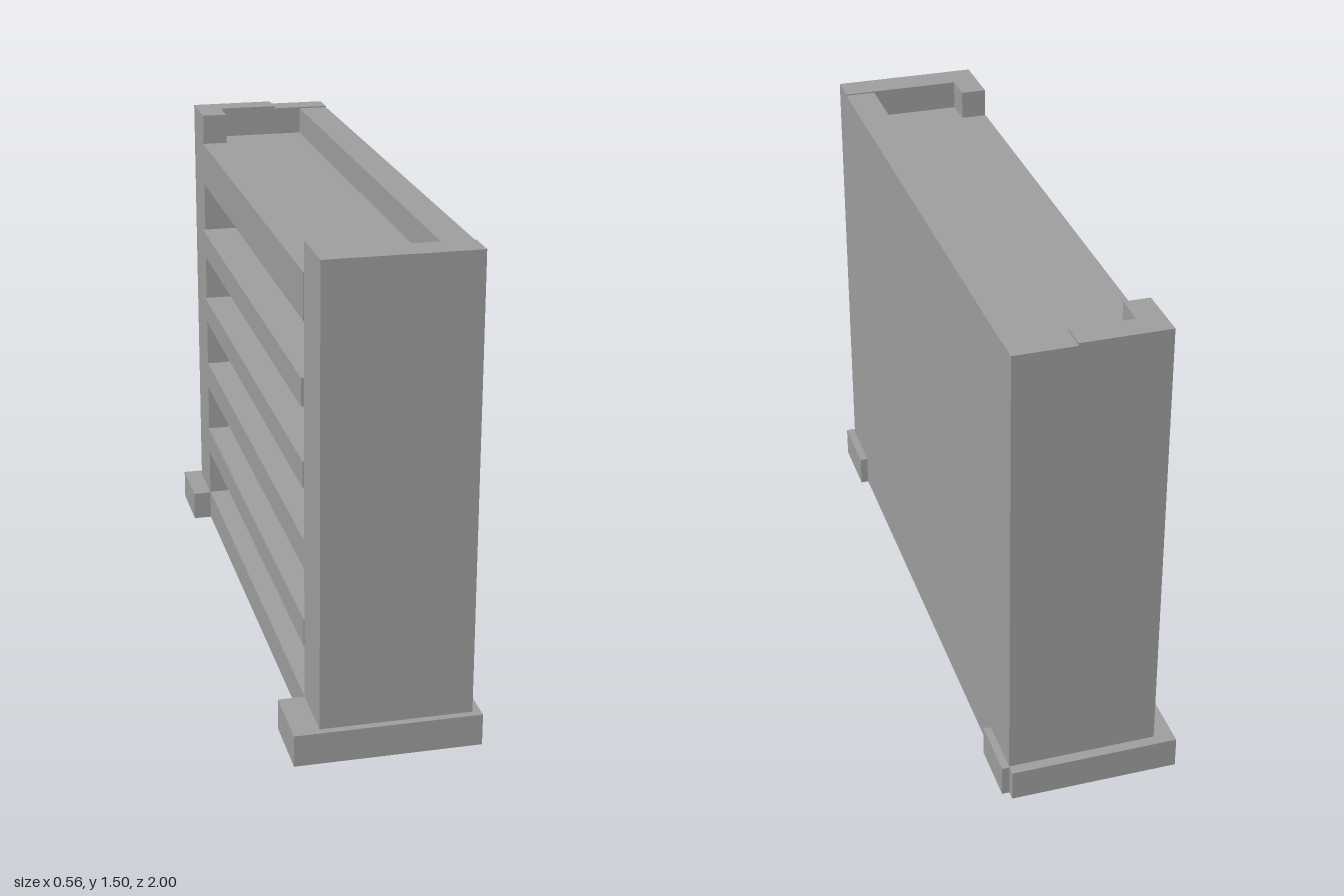
import * as THREE from 'three';

const material = new THREE.MeshStandardMaterial({ color: 0x9e9e9e });

export function createModel() {
  const model = new THREE.Group();
  model.name = 'shelfUnit';

  // Box given by its limits on each axis
  function box(name, [x0, x1], [y0, y1], [z0, z1]) {
    const mesh = new THREE.Mesh(new THREE.BoxGeometry(x1 - x0, y1 - y0, z1 - z0), material);
    mesh.position.set((x0 + x1) / 2, (y0 + y1) / 2, (z0 + z1) / 2);
    mesh.name = name;
    model.add(mesh);
  }

  // Upright extruded from a plan outline of [x, z] points
  function upright(name, points, y0, y1) {
    const shape = new THREE.Shape(points.map(([x, z]) => new THREE.Vector2(x, -z)));
    const geometry = new THREE.ExtrudeGeometry(shape, { depth: y1 - y0, bevelEnabled: false });
    geometry.rotateX(-Math.PI / 2);
    const mesh = new THREE.Mesh(geometry, material);
    mesh.position.y = y0;
    mesh.name = name;
    model.add(mesh);
  }

  // Tall closed side and the solid core behind the shelves
  box('sideWall', [0.16, 0.255], [0, 1.486], [-0.886, 0.879]);
  box('core', [-0.03, 0.17], [0, 1.39], [-0.89, 0.885]);

  // End posts, each with a lip turned along the open side
  const post = (right, outer, inner, lip) => [
    [right, outer], [-0.2, outer], [-0.2, lip], [-0.12, lip], [-0.12, inner], [right, inner],
  ];
  upright('frontPost', post(0.255, 0.977, 0.878, 0.78), 0, 1.49);
  upright('backPost', post(0.255, -0.967, -0.885, -0.785), 0, 1.49);
  upright('backPostCap', post(0.07, -0.967, -0.885, -0.785), 1.486, 1.498);

  // Inner cheeks that close the shelf bays
  box('frontCheek', [-0.19, 0], [0, 1.39], [0.78, 0.9]);
  box('backCheek', [-0.19, 0], [0, 1.39], [-0.9, -0.785]);

  // Deep top shelf, slats and bottom board: [bottom, top, open edge]
  const shelves = [
    [1.26, 1.4, -0.202], [1.01, 1.095, -0.209], [0.765, 0.845, -0.205],
    [0.51, 0.6, -0.2], [0.265, 0.35, -0.202], [0, 0.1, -0.2],
  ];
  shelves.forEach(([y0, y1, edge], i) => {
    box(`shelf${i + 1}`, [edge, 0.165], [y0, y1], [-0.786, 0.781]);
  });
  box('topShelfBed', [-0.13, 0.165], [1.26, 1.4], [-0.89, 0.885]);

  // Feet; the back one has a stepped outer corner
  box('frontFoot', [-0.28, 0.28], [0, 0.098], [0.782, 1]);
  box('backFoot', [-0.26, 0.255], [0, 0.097], [-1, -0.785]);
  box('backFootSide', [0.25, 0.278], [0, 0.097], [-0.972, -0.782]);

  return model;
}
